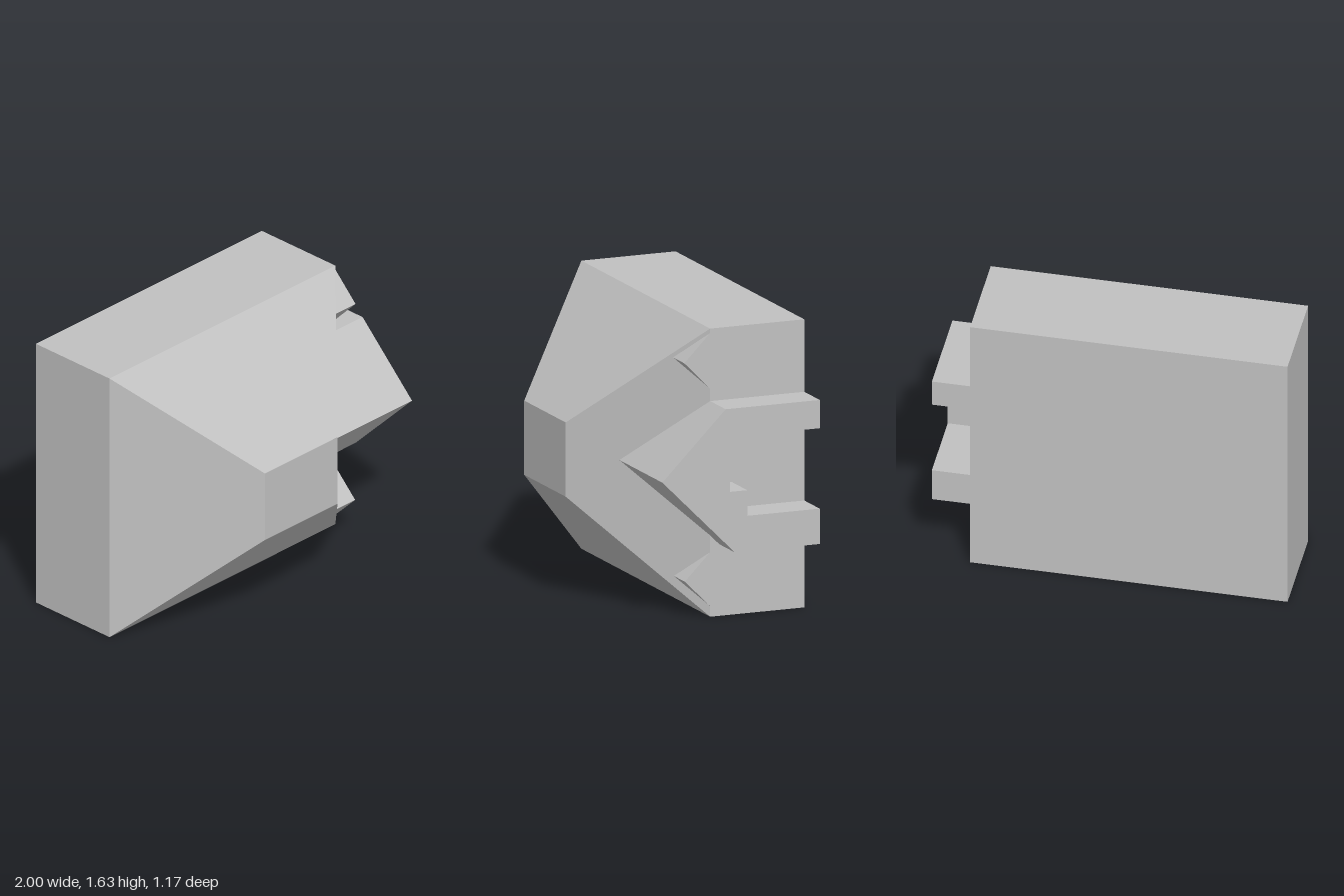
import * as THREE from 'three';

const BACK = -0.585, RIM = -0.02, FRONT = 0.585, SIDE = 0.785;

export function createModel() {
  const group = new THREE.Group();
  const grey = new THREE.MeshStandardMaterial({ color: 0xc0c0c0 });
  grey.name = 'plain grey';

  const add = (name, geometry) => {
    const mesh = new THREE.Mesh(geometry, grey);
    mesh.name = name;
    group.add(mesh);
  };

  // Extrudes a [z, y] outline along x
  const extrudeX = (points, x0, x1) => {
    const shape = new THREE.Shape(points.map(([z, y]) => new THREE.Vector2(-z, y)));
    return new THREE.ExtrudeGeometry(shape, { depth: x1 - x0, bevelEnabled: false })
      .rotateY(Math.PI / 2)
      .translate(x0, 0, 0);
  };

  // Body: a slab whose front tapers to a small off-centre rectangle
  const body = new THREE.BoxGeometry(2, 2, 2, 1, 1, 2).toNonIndexed();
  const p = body.attributes.position;
  for (let i = 0; i < p.count; i++) {
    const layer = Math.round(p.getZ(i)), right = p.getX(i) > 0, top = p.getY(i) > 0;
    if (layer === 1) p.setXYZ(i, right ? 0.18 : -0.395, top ? 1.025 : 0.605, FRONT);
    else p.setXYZ(i, right ? SIDE : -1, top ? 1.63 : 0, layer === 0 ? RIM : BACK);
  }
  body.computeVertexNormals();
  add('body', body);

  // Side bracket: pointed at the front, with a stepped slot open at the back
  add('sideBracket', extrudeX([
    [BACK, 1.22], [RIM, 1.22], [0.36, 0.84], [-0.075, 0.405], [BACK, 0.405],
    [BACK, 0.605], [-0.15, 0.605], [-0.15, 0.75], [-0.045, 0.75],
    [-0.045, 0.915], [-0.15, 0.915], [-0.15, 1.06], [BACK, 1.06],
  ], SIDE, 1));

  // Wedges standing out of the sloping side: [name, top, point y, point z, bottom]
  const wedges = [
    ['bracketWedge', 1.22, 0.84, 0.36, 0.46],
    ['upperWedge', 1.605, 1.448, 0.135, 1.29],
    ['lowerWedge', 0.365, 0.212, 0.132, 0.06],
  ];
  for (const [name, top, tipY, tipZ, bottom] of wedges) {
    const start = 0.18 + FRONT - tipZ;
    add(name, extrudeX([[RIM, top], [tipZ, tipY], [RIM, bottom]], start, SIDE));
  }

  return group;
}
